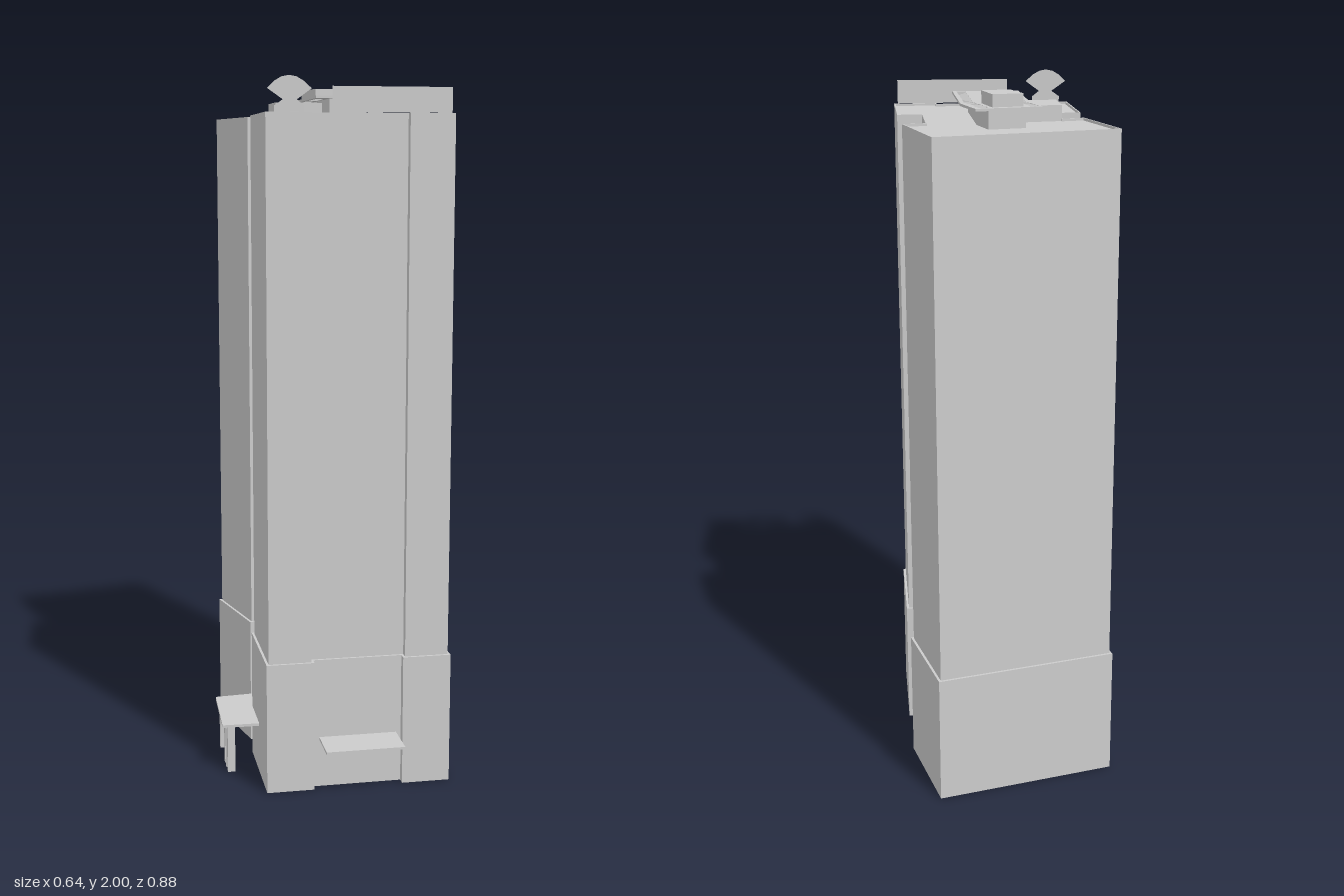
import * as THREE from 'three';

const material = new THREE.MeshStandardMaterial({ color: 0xcccccc, flatShading: true, side: THREE.DoubleSide });

// Plan outline of the tower as [x, z] pairs, clockwise seen from above
const footprint = [
  [-0.27, -0.32], [0.247, -0.44], [0.315, -0.155], [0.25, -0.14], [0.25, 0.045], [0.32, 0.045],
  [0.32, 0.348], [0.18, 0.348], [0.18, 0.325], [-0.078, 0.325], [-0.078, 0.348], [-0.215, 0.348],
  [-0.215, 0.045], [-0.145, 0.045], [-0.145, -0.074], [-0.205, -0.06],
];

// Moves every edge of an outline inwards by d
function inset(poly, d) {
  const n = poly.length;
  const dir = (a, b) => {
    const l = Math.hypot(b[0] - a[0], b[1] - a[1]);
    return [(b[0] - a[0]) / l, (b[1] - a[1]) / l];
  };
  return poly.map((p, i) => {
    const u = dir(poly[(i + n - 1) % n], p);
    const v = dir(p, poly[(i + 1) % n]);
    const n1 = [-u[1], u[0]], n2 = [-v[1], v[0]];
    const k = d / (1 + n1[0] * n2[0] + n1[1] * n2[1]);
    return [p[0] + (n1[0] + n2[0]) * k, p[1] + (n1[1] + n2[1]) * k];
  });
}

const toPoints = (poly) => poly.map(([x, z]) => new THREE.Vector2(x, -z));

function planShape(poly, holes = []) {
  const shape = new THREE.Shape(toPoints(poly));
  holes.forEach((h) => shape.holes.push(new THREE.Path(toPoints(h))));
  return shape;
}

function addMesh(group, name, geometry) {
  const mesh = new THREE.Mesh(geometry, material);
  mesh.name = name;
  group.add(mesh);
  return mesh;
}

// Upright prism from a plan outline between two heights
function prism(group, name, poly, y0, y1, holes) {
  const geo = new THREE.ExtrudeGeometry(planShape(poly, holes), { depth: y1 - y0, bevelEnabled: false });
  geo.rotateX(-Math.PI / 2).translate(0, y0, 0);
  return addMesh(group, name, geo);
}

// Small rectangular vent outline, turned by angle
function ventOutline(x, z, angle) {
  const c = Math.cos(angle), s = Math.sin(angle);
  return [[-1, -1], [1, -1], [1, 1], [-1, 1]].map(([i, j]) => {
    const a = i * 0.0125, b = j * 0.0095;
    return [x + a * c - b * s, z + a * s + b * c];
  });
}

export function createModel() {
  const model = new THREE.Group();
  model.name = 'towerBlock';

  // Hollow walls: a slightly wider base storey block under the tall shaft
  const shaft = inset(footprint, 0.007);
  const rim = inset(footprint, 0.011);
  prism(model, 'baseWalls', footprint, 0, 0.38, [shaft]);
  prism(model, 'towerWalls', shaft, 0.38, 1.905, [rim]);

  // Roof just below the parapet edge
  const roof = new THREE.ShapeGeometry(planShape(rim));
  roof.rotateX(-Math.PI / 2).translate(0, 1.898, 0);
  addMesh(model, 'roof', roof);

  // Roof plant: low spine, side room and rear lift housing
  const plant = new THREE.Group();
  plant.name = 'roofPlant';
  model.add(plant);
  prism(plant, 'plantSpine',
    [[0, 0.16], [0.105, 0.16], [0.105, -0.14], [0.082, -0.245], [-0.02, -0.222], [0, -0.13]], 1.898, 1.95);
  prism(plant, 'sideRoom', [[-0.136, -0.08], [0, -0.105], [0, 0.045], [-0.136, 0.051]], 1.898, 1.942);
  prism(plant, 'liftHousing', [[-0.012, -0.233], [0.072, -0.25], [0.092, -0.145], [0.013, -0.13]], 1.95, 1.99);

  // Bent roof deck with a row of openings along both sides
  const vents = [];
  for (let i = 0; i < 11; i++) {
    const z = 0.15 - i * 0.0262;
    vents.push(ventOutline(-0.019, z, 0), ventOutline(0.125, z, 0));
  }
  for (let i = 0; i < 4; i++) {
    vents.push(ventOutline(-0.024 - i * 0.0055, -0.139 - i * 0.0285, -0.2));
    vents.push(ventOutline(0.119 - i * 0.0072, -0.1415 - i * 0.0375 * 0.985 + i * 0.0015 * i, -0.2));
  }
  prism(plant, 'roofDeck',
    [[-0.042, 0.178], [0.149, 0.178], [0.149, -0.148], [0.119, -0.279], [-0.063, -0.24], [-0.042, -0.14]],
    1.949, 1.956, vents);

  // Blank upright panel and fan-shaped ornament on the front roof edge
  const panel = new THREE.PlaneGeometry(0.33, 0.068);
  addMesh(model, 'roofPanel', panel.translate(0.137, 1.939, 0.345));
  const fan = new THREE.Shape();
  fan.moveTo(-0.185, 1.905);
  fan.lineTo(-0.185, 1.921);
  fan.lineTo(-0.162, 1.937);
  fan.lineTo(-0.204, 1.966);
  fan.quadraticCurveTo(-0.145, 2.034, -0.084, 1.966);
  fan.lineTo(-0.124, 1.937);
  fan.lineTo(-0.103, 1.921);
  fan.lineTo(-0.103, 1.905);
  addMesh(model, 'roofOrnament', new THREE.ShapeGeometry(fan, 6).translate(0, 0, 0.345));

  // Front entrance canopy
  const canopy = new THREE.BoxGeometry(0.226, 0.007, 0.13);
  addMesh(model, 'frontCanopy', canopy.translate(0.053, 0.145, 0.375));

  // Side canopy on columns
  const side = new THREE.Group();
  side.name = 'sideEntrance';
  model.add(side);
  prism(side, 'sideCanopy',
    [[-0.316, -0.048], [-0.205, -0.057], [-0.145, -0.074], [-0.145, 0.045], [-0.215, 0.045], [-0.215, 0.192], [-0.323, 0.189]],
    0.142, 0.15);
  for (const z of [-0.018, 0.1, 0.135, 0.17]) {
    addMesh(side, 'canopyColumn', new THREE.BoxGeometry(0.022, 0.143, 0.018).translate(-0.296, 0.0715, z));
  }
  return model;
}
